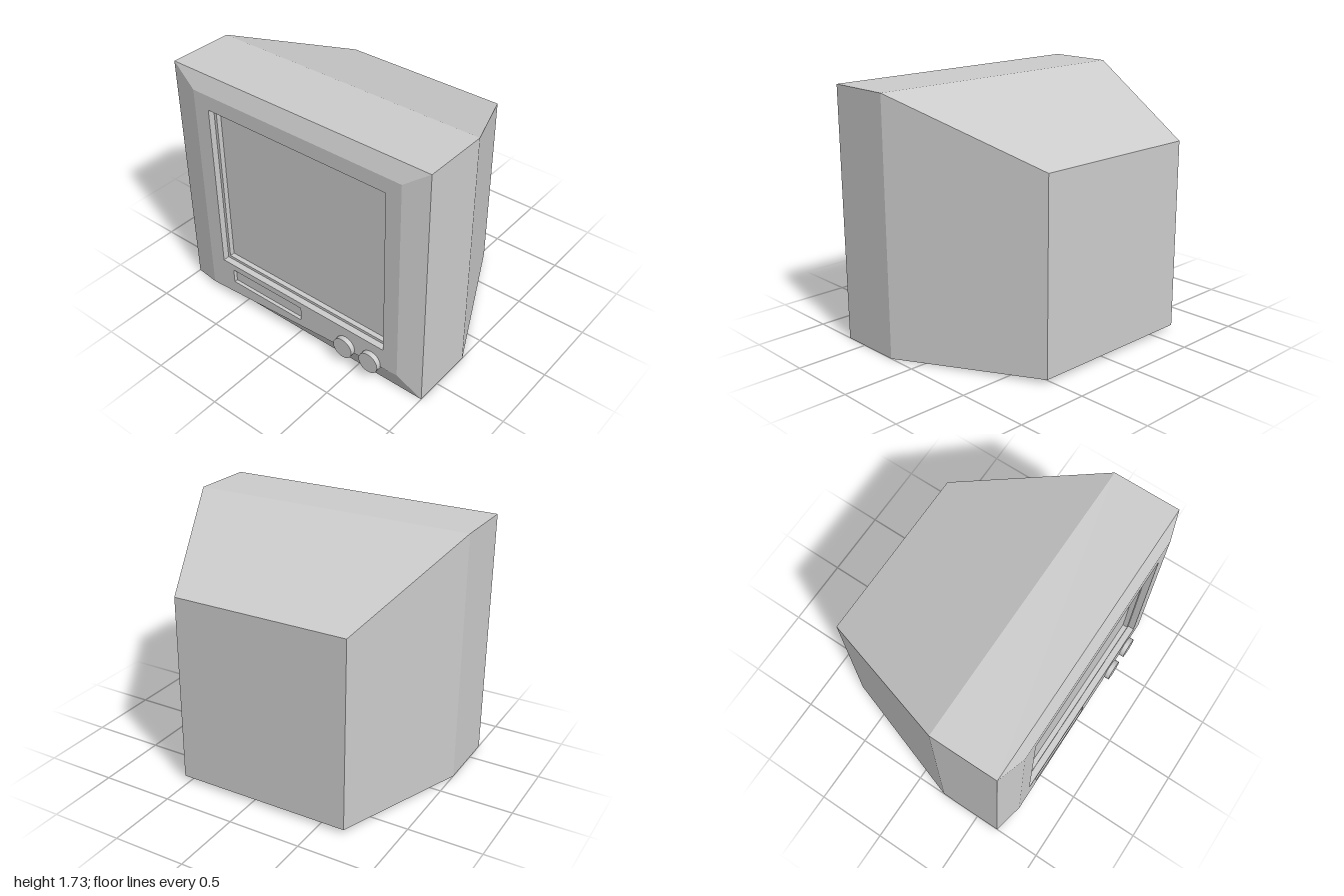
import * as THREE from 'three';

const material = new THREE.MeshStandardMaterial({ color: 0xcccccc, flatShading: true });
const smooth = new THREE.MeshStandardMaterial({ color: 0xcccccc });

const FACE = 0.72; // distance of the front panel from the centre

// Four corners, counter-clockwise as seen from the screen side
const rect = (x0, y0, x1, y1, z) => [[x0, y0, z], [x1, y0, z], [x1, y1, z], [x0, y1, z]];

// Joins successive four-cornered rings with flat quads; optional end caps
function loft(name, rings, capStart, capEnd) {
  const pos = [];
  const quad = (a, b, c, d) => pos.push(...a, ...b, ...c, ...a, ...c, ...d);
  for (let i = 0; i < rings.length - 1; i++) {
    for (let j = 0; j < 4; j++) {
      const k = (j + 1) % 4;
      quad(rings[i][j], rings[i][k], rings[i + 1][k], rings[i + 1][j]);
    }
  }
  if (capStart) quad(...[...rings[0]].reverse());
  if (capEnd) quad(...rings[rings.length - 1]);
  const geo = new THREE.BufferGeometry();
  geo.setAttribute('position', new THREE.Float32BufferAttribute(pos, 3));
  geo.computeVertexNormals();
  const mesh = new THREE.Mesh(geo, material);
  mesh.name = name;
  return mesh;
}

export function createModel() {
  const model = new THREE.Group();
  model.name = 'television';

  // Built with the screen towards +z, then turned to face -x
  const set = new THREE.Group();
  set.name = 'televisionSet';
  set.rotation.y = -Math.PI / 2;
  model.add(set);

  // Cabinet: tapered back, straight shell, bevelled rim
  const rim = [[-0.79, 0.04, FACE], [0.84, 0.15, FACE], [0.84, 1.62, FACE], [-0.79, 1.62, FACE]];
  set.add(loft('cabinet', [
    rect(-0.68, 0.03, 0.54, 1.33, -0.75),
    rect(-1, 0, 1, 1.73, 0.21),
    rect(-1, 0, 1, 1.73, 0.67),
    rim,
  ], true, false));

  // Front panel with openings for the screen and the control slot
  const screen = [-0.67, 0.3, 0.73, 1.515];
  const slot = [-0.58, 0.15, 0.04, 0.255];
  const toPoints = (ring) => ring.map(([x, y]) => new THREE.Vector2(x, y));
  const panelShape = new THREE.Shape(toPoints(rim));
  for (const r of [screen, slot]) {
    panelShape.holes.push(new THREE.Path(toPoints(rect(...r, 0)).reverse()));
  }
  const panel = new THREE.Mesh(new THREE.ShapeGeometry(panelShape), material);
  panel.name = 'frontPanel';
  panel.position.z = FACE;
  set.add(panel);

  // Screen sunk in two steps
  const [x0, y0, x1, y1] = screen;
  const s = 0.02;
  const inner = [x0 + s, y0 + s, x1 - s, y1 - s];
  set.add(loft('screen', [
    rect(...screen, FACE),
    rect(...screen, FACE - 0.045),
    rect(...inner, FACE - 0.045),
    rect(...inner, FACE - 0.08),
  ], false, true));

  // Shallow control slot
  set.add(loft('controlSlot', [rect(...slot, FACE), rect(...slot, FACE - 0.025)], false, true));

  // Two round knobs, reaching back to the bevel
  for (const [name, x] of [['innerKnob', 0.425], ['outerKnob', 0.635]]) {
    const geo = new THREE.CylinderGeometry(0.075, 0.075, 0.05, 20).rotateX(Math.PI / 2);
    const knob = new THREE.Mesh(geo, smooth);
    knob.name = name;
    knob.position.set(x, 0.155, 0.73);
    set.add(knob);
  }

  return model;
}
